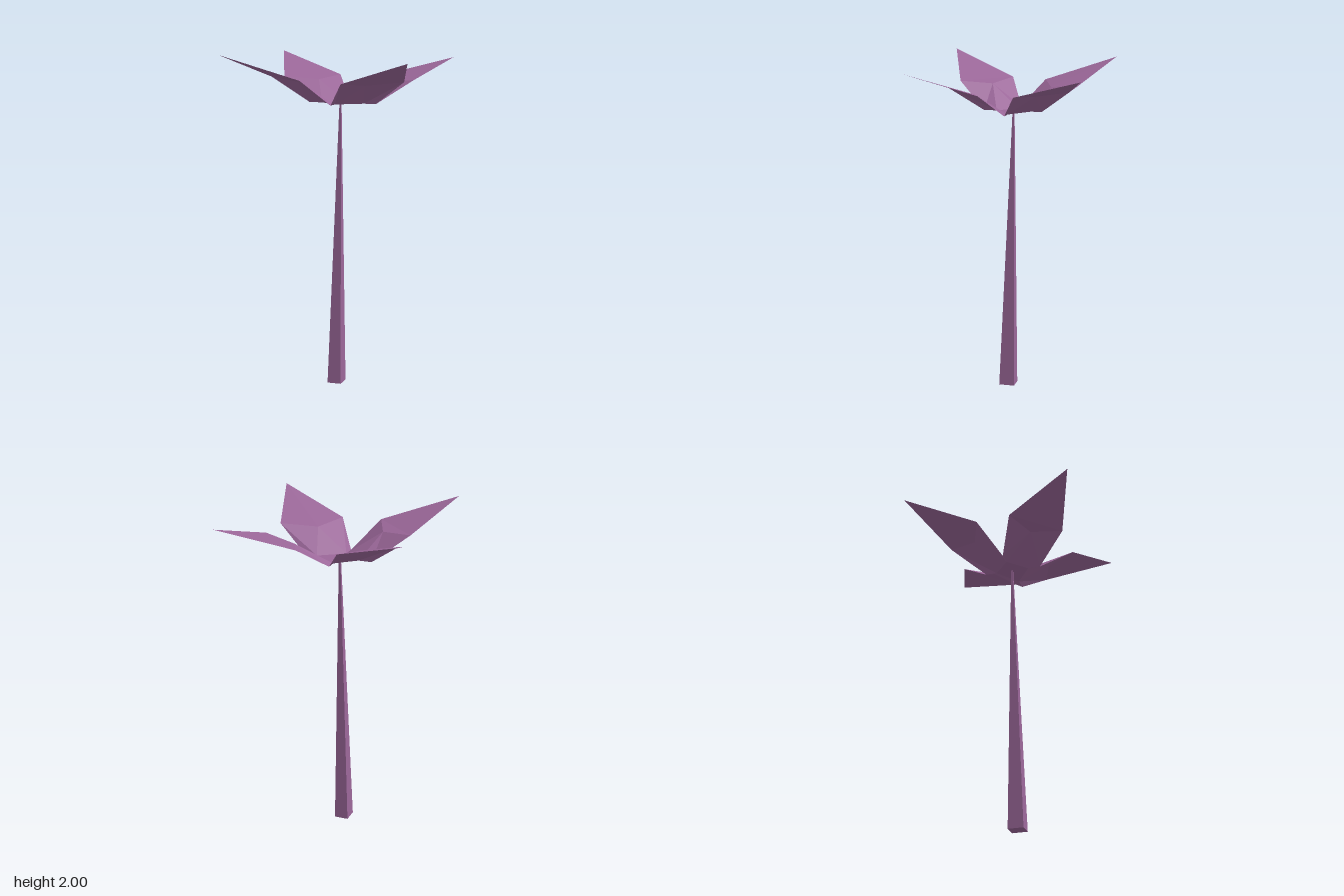
import * as THREE from 'three';

const material = new THREE.MeshStandardMaterial({
  color: 0x9b6799, flatShading: true, side: THREE.DoubleSide,
});

// Flat-shaded mesh from corner points and faces (each face is a fan of corners)
function facetedMesh(name, points, faces) {
  const corners = [];
  for (const [first, ...rest] of faces) {
    for (let i = 0; i + 1 < rest.length; i++) {
      corners.push(...points[first], ...points[rest[i]], ...points[rest[i + 1]]);
    }
  }
  const geometry = new THREE.BufferGeometry();
  geometry.setAttribute('position', new THREE.Float32BufferAttribute(corners, 3));
  geometry.computeVertexNormals();
  const mesh = new THREE.Mesh(geometry, material);
  mesh.name = name;
  return mesh;
}

// One folded petal in the quadrant given by the signs sx, sz
function petal(name, sx, sz, tipY, shoulderY) {
  const left = sx < 0;
  const points = [
    [0, 1.7, 0],                                  // 0 centre
    [left ? 0.115 : 0.145, 1.7, 0],               // 1 fold foot on x
    [left ? 0.195 : 0.22, 1.7, 0],                // 2 outer foot on x
    [left ? 0.395 : 0.42, shoulderY, 0.103],      // 3 side shoulder
    [0.557, tipY, 0.512],                         // 4 tip
    [0.123, shoulderY, 0.36],                     // 5 inner shoulder
    [0, 1.7, sz > 0 ? 0.18 : 0.17],               // 6 outer foot on z
    [0, 1.7, 0.103],                              // 7 fold foot on z
    [left ? 0.2 : 0.21, shoulderY - 0.02, 0.18],  // 8 crease point
  ].map(([x, y, z]) => [x * sx, y, z * sz]);
  const faces = [[0, 7, 1], [1, 7, 8], [1, 8, 3, 2], [7, 6, 5, 8], [8, 5, 4, 3]];
  // Mirroring once reverses the corner order
  if (sx * sz < 0) faces.forEach((face) => face.reverse());
  return facetedMesh(name, points, faces);
}

// Four-sided stem, thick at the ground and leaning to a thin top
function stem() {
  const ring = (x0, x1, y, z0, z1) => [[x0, y, z1], [x1, y, z1], [x1, y, z0], [x0, y, z0]];
  const points = [
    ...ring(-0.055, 0.029, 0, -0.01, 0.084),
    ...ring(-0.005, 0.005, 1.7, -0.005, 0.005),
  ];
  const faces = [[3, 2, 1, 0], [4, 5, 6, 7]];
  for (let i = 0; i < 4; i++) {
    const j = (i + 1) % 4;
    faces.push([i, j, j + 4, i + 4]);
  }
  return facetedMesh('stem', points, faces);
}

export function createModel() {
  const flower = new THREE.Group();
  flower.name = 'flower';
  flower.add(
    stem(),
    petal('frontLeftPetal', 1, 1, 1.972, 1.84),
    petal('frontRightPetal', -1, 1, 2.0, 1.853),
    petal('backLeftPetal', 1, -1, 1.953, 1.838),
    petal('backRightPetal', -1, -1, 1.975, 1.843),
  );
  return flower;
}
